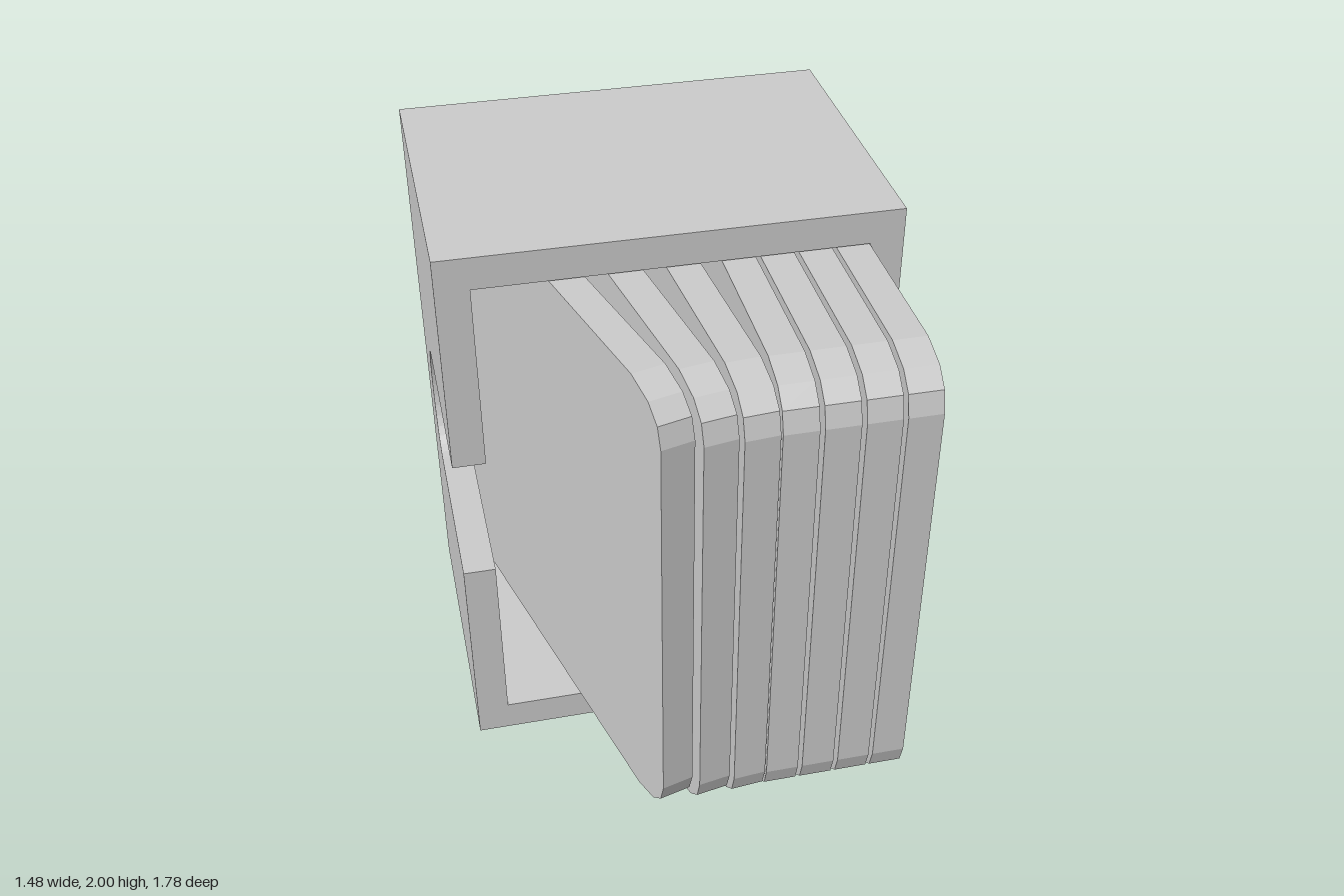
import * as THREE from 'three';

const material = new THREE.MeshStandardMaterial({ color: 0xcccccc, flatShading: true });

// Case: outer half width, height range, depth range and wall thickness
const W = 0.737, Y0 = 0.004, Y1 = 1.996, ZB = -0.89, ZF = 0.17, T = 0.11;

// Extrude a (z, y) outline along x, centred on x = 0
function extrudeSide(shape, thickness, curveSegments = 8) {
  const g = new THREE.ExtrudeGeometry(shape, { depth: thickness, bevelEnabled: false, curveSegments });
  return g.rotateY(-Math.PI / 2).translate(thickness / 2, 0, 0);
}

function addMesh(parent, name, geometry, x = 0, y = 0, z = 0) {
  const mesh = new THREE.Mesh(geometry, material);
  mesh.name = name;
  mesh.position.set(x, y, z);
  parent.add(mesh);
  return mesh;
}

// Side wall with a round-ended thumb notch open to the front
function sideWallGeometry() {
  const s = new THREE.Shape();
  s.moveTo(ZB, Y0);
  s.lineTo(ZF, Y0);
  s.lineTo(ZF, 0.775);
  s.lineTo(-0.5, 0.775);
  s.absellipse(-0.5, 1.0025, 0.152, 0.2275, -Math.PI / 2, Math.PI / 2, true);
  s.lineTo(ZF, 1.23);
  s.lineTo(ZF, Y1);
  s.lineTo(ZB, Y1);
  s.closePath();
  return extrudeSide(s, T);
}

function createCase() {
  const box = new THREE.Group();
  box.name = 'case';
  const inner = 2 * (W - T), depth = ZF - ZB, zMid = (ZF + ZB) / 2;
  const side = sideWallGeometry();
  addMesh(box, 'leftWall', side, W - T / 2);
  addMesh(box, 'rightWall', side, -W + T / 2);
  const slab = new THREE.BoxGeometry(inner, T, depth);
  addMesh(box, 'topWall', slab, 0, Y1 - T / 2, zMid);
  addMesh(box, 'bottomWall', slab, 0, Y0 + T / 2, zMid);
  addMesh(box, 'backWall', new THREE.BoxGeometry(inner, Y1 - Y0 - 2 * T, T), 0, (Y0 + Y1) / 2, ZB + T / 2);
  return box;
}

// Tall plate with faceted round corners; its front left edge is at the origin
function plateGeometry(thickness, length, y0, y1) {
  const corner = [[0.18, 0], [0.075, 0.03], [0.02, 0.08], [0, 0.15]];
  const points = [];
  const cy = (y0 + y1) / 2, h = (y1 - y0) / 2;
  const add = (front, up, list) => list.forEach(([dz, dy]) => points.push(
    new THREE.Vector2(front ? -dz : dz - length, cy + up * (h - dy))));
  const back = [...corner].reverse();
  add(true, 1, back);
  add(false, 1, corner);
  add(false, -1, back);
  add(true, -1, corner);
  return extrudeSide(new THREE.Shape(points), thickness).translate(thickness / 2, 0, 0);
}

export function createModel() {
  const model = new THREE.Group();
  model.name = 'caseWithPlates';

  // Everything leans very slightly sideways about the centre
  const lean = new THREE.Group();
  lean.name = 'leaningBody';
  lean.position.y = 1;
  lean.rotation.z = 0.005;
  const body = new THREE.Group();
  body.name = 'body';
  body.position.y = -1;
  lean.add(body);
  model.add(lean);

  body.add(createCase());

  // Plates: front left edge x, z and fan angle in degrees
  const plates = new THREE.Group();
  plates.name = 'plates';
  body.add(plates);
  const geometry = plateGeometry(0.108, 1.65, 0.19, 1.88);
  const layout = [
    [-0.197, 0.875, 15], [-0.077, 0.886, 10], [0.04, 0.886, 5],
    [0.152, 0.88, 0], [0.275, 0.88, 0], [0.398, 0.88, 0], [0.52, 0.88, 0],
  ];
  layout.forEach(([x, z, angle], i) => {
    const plate = addMesh(plates, `plate${i + 1}`, geometry, x, 0, z);
    plate.rotation.y = THREE.MathUtils.degToRad(angle);
  });

  return model;
}
